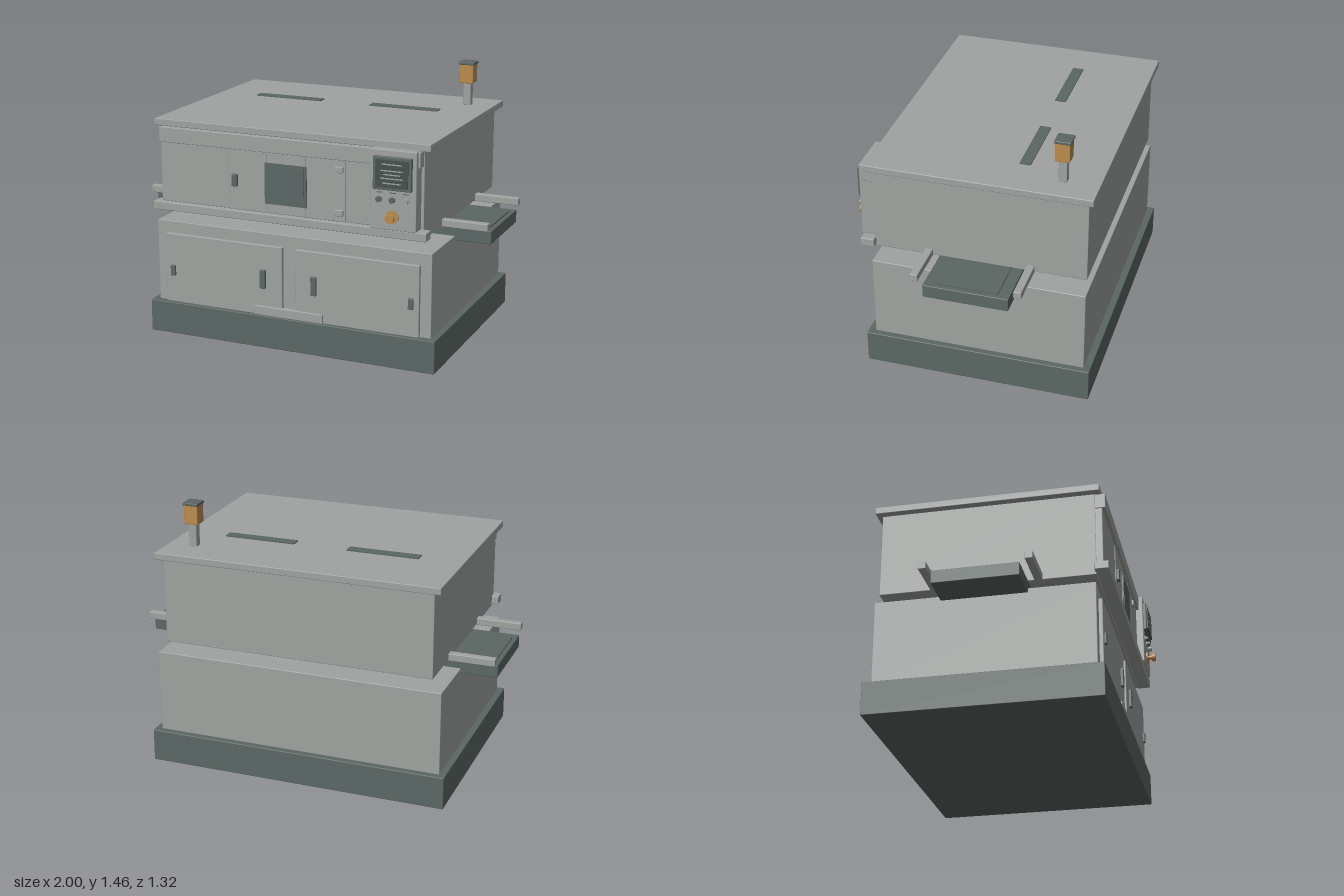
import * as THREE from 'three';
import { RoundedBoxGeometry } from 'three/addons/geometries/RoundedBoxGeometry.js';

const mat = (name, color) => {
  const m = new THREE.MeshStandardMaterial({ color });
  m.name = name;
  return m;
};

export function createModel() {
  const grey = mat('panel grey', 0x9fa3a0);
  const dark = mat('dark grey green', 0x5b6764);
  const screen = mat('screen dark', 0x46514f);
  const amber = mat('amber', 0xba8b4c);

  const root = new THREE.Group();
  root.name = 'conveyorMachine';
  const group = (name) => {
    const g = new THREE.Group();
    g.name = name;
    root.add(g);
    return g;
  };

  // Box given by its extents; larger boxes get a slight edge rounding
  const box = (parent, name, m, [x0, x1], [y0, y1], [z0, z1]) => {
    const w = x1 - x0, h = y1 - y0, d = z1 - z0;
    const geo = Math.min(w, h, d) > 0.015
      ? new RoundedBoxGeometry(w, h, d, 1, 0.004)
      : new THREE.BoxGeometry(w, h, d);
    const mesh = new THREE.Mesh(geo, m);
    mesh.name = name;
    mesh.position.set((x0 + x1) / 2, (y0 + y1) / 2, (z0 + z1) / 2);
    parent.add(mesh);
    return mesh;
  };

  // Cylinder lying along z
  const disc = (parent, name, m, r, x, y, [z0, z1]) => {
    const mesh = new THREE.Mesh(new THREE.CylinderGeometry(r, r, z1 - z0, 24), m);
    mesh.name = name;
    mesh.rotation.x = Math.PI / 2;
    mesh.position.set(x, y, (z0 + z1) / 2);
    parent.add(mesh);
  };

  // Plinth and lower cabinet
  const lower = group('lowerCabinet');
  box(lower, 'plinth', dark, [-0.835, 0.835], [0, 0.18], [-0.657, 0.58]);
  box(lower, 'cabinetBody', grey, [-0.8, 0.8], [0.175, 0.637], [-0.62, 0.541]);
  box(lower, 'kickPlate', grey, [-0.2, 0.2], [0.18, 0.232], [0.541, 0.572]);
  for (const s of [-1, 1]) {
    const span = (a, b) => (s > 0 ? [a, b] : [-b, -a]);
    box(lower, 'cabinetDoor', grey, span(0.038, 0.74), [0.18, 0.572], [0.538, 0.562]);
    box(lower, 'doorHandle', dark, span(0.133, 0.165), [0.332, 0.437], [0.555, 0.577]);
    box(lower, 'doorLatch', dark, span(0.682, 0.711), [0.333, 0.393], [0.555, 0.574]);
  }

  // Conveyor running through the gap, with guide rails and hood supports
  const conveyor = group('conveyor');
  box(conveyor, 'conveyorBed', dark, [-1, 1], [0.613, 0.685], [-0.267, 0.19]);
  box(conveyor, 'conveyorBelt', dark, [-0.975, 0.975], [0.685, 0.693], [-0.205, 0.127]);
  for (const z of [-0.314, 0.236])
    box(conveyor, 'guideRail', grey, [-1, 1], [0.7, 0.74], [z - 0.021, z + 0.021]);
  for (const x of [-0.285, 0.285])
    box(conveyor, 'hoodSupport', grey, [x - 0.017, x + 0.017], [0.632, 0.71], [0.215, 0.325]);

  // Upper hood
  const hood = group('hood');
  box(hood, 'hoodBody', grey, [-0.75, 0.75], [0.704, 1.178], [-0.613, 0.537]);
  box(hood, 'lid', grey, [-0.79, 0.79], [1.173, 1.211], [-0.643, 0.565]);
  box(hood, 'frontSill', grey, [-0.787, 0.787], [0.715, 0.76], [0.53, 0.605]);
  box(hood, 'frontHeader', grey, [-0.748, 0.746], [1.09, 1.173], [0.53, 0.59]);
  for (const s of [-1, 1])
    box(hood, 'roofVent', dark, s > 0 ? [0.15, 0.55] : [-0.55, -0.15], [1.209, 1.217], [-0.255, -0.195]);

  // Front panels, the middle ones forming a door around the window
  const xs = [-0.748, -0.338, -0.115, 0.108, 0.335, 0.73];
  for (let i = 0; i < 5; i++) {
    const front = i === 0 || i === 4 ? 0.573 : 0.577;
    box(hood, 'frontPanel', grey, [xs[i], xs[i + 1]], [0.76, 1.09], [0.53, front]);
  }
  box(hood, 'windowFrame', dark, [-0.123, 0.117], [0.813, 1.034], [0.577, 0.584]);
  box(hood, 'windowPane', dark, [-0.11, 0.104], [0.826, 1.021], [0.584, 0.587]);
  box(hood, 'hoodDoorHandle', dark, [-0.316, -0.283], [0.888, 0.955], [0.57, 0.592]);
  for (const y of [0.808, 1.038])
    box(hood, 'hoodDoorHinge', grey, [0.276, 0.323], [y - 0.017, y + 0.017], [0.57, 0.588]);

  // Control panel
  const panel = group('controlPanel');
  box(panel, 'panelBox', grey, [0.484, 0.735], [0.76, 1.177], [0.535, 0.613]);
  box(panel, 'screenFrame', dark, [0.505, 0.714], [0.972, 1.145], [0.608, 0.63]);
  box(panel, 'screenFace', screen, [0.522, 0.697], [0.987, 1.13], [0.629, 0.636]);
  [[1.108, 0.055], [1.075, 0.06], [1.055, 0.045], [1.035, 0.06], [1.01, 0.05]].forEach(([y, r]) =>
    box(panel, 'screenLine', grey, [0.61 - r, 0.61 + r], [y - 0.003, y + 0.003], [0.635, 0.638]));
  [dark, dark, grey].forEach((m, i) => {
    const x = 0.537 + i * 0.072;
    disc(panel, 'buttonRing', grey, 0.019, x, 0.921, [0.61, 0.619]);
    disc(panel, 'button', m, 0.015, x, 0.921, [0.615, 0.635]);
    box(panel, 'buttonLabel', dark, [x - 0.016, x + 0.016], [0.953, 0.958], [0.612, 0.615]);
  });
  disc(panel, 'stopButtonBase', amber, 0.034, 0.609, 0.831, [0.61, 0.622]);
  disc(panel, 'stopButtonStem', amber, 0.012, 0.609, 0.831, [0.62, 0.648]);
  disc(panel, 'stopButtonHead', amber, 0.023, 0.609, 0.831, [0.645, 0.663]);

  // Signal beacon on the roof
  const beacon = group('beacon');
  box(beacon, 'beaconPole', grey, [0.62, 0.664], [1.209, 1.34], [-0.474, -0.43]);
  box(beacon, 'beaconLamp', amber, [0.603, 0.681], [1.337, 1.443], [-0.491, -0.413]);
  box(beacon, 'beaconCap', dark, [0.598, 0.686], [1.44, 1.456], [-0.497, -0.409]);

  return root;
}
